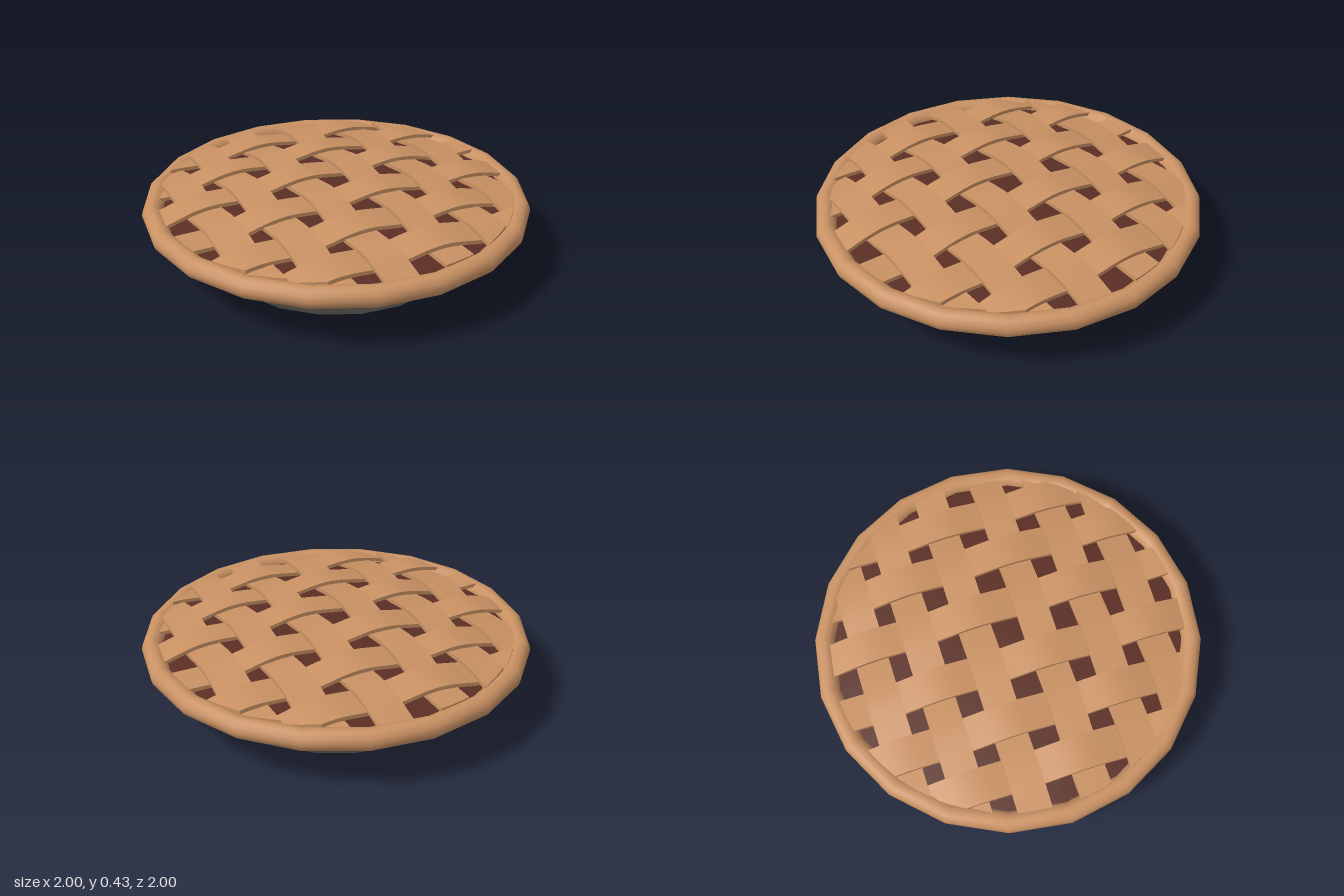
import * as THREE from 'three';

const SIDES = 20;
const CENTRES = [-0.70, -0.44, -0.155, 0.155, 0.44, 0.70];
const STRIP_WIDTH = 0.17, STRIP_THICKNESS = 0.02, LATTICE_RADIUS = 0.915;

// One lattice strip along z at the given x: clipped to a circle, domed and woven.
function stripGeometry(x, sign) {
  const geo = new THREE.BoxGeometry(STRIP_WIDTH, STRIP_THICKNESS, 2, 4, 1, 48);
  const pos = geo.attributes.position;
  for (let i = 0; i < pos.count; i++) {
    const px = pos.getX(i) + x;
    const pz = pos.getZ(i) * Math.sqrt(LATTICE_RADIUS ** 2 - px * px);
    const dome = 0.405 - 0.065 * (px * px + pz * pz) / 0.81;
    const weave = 0.015 * sign * Math.sin(Math.PI * pz / 0.285);
    pos.setXYZ(i, px, pos.getY(i) + dome + weave, pz);
  }
  geo.computeVertexNormals();
  return geo;
}

export function createModel() {
  const crust = new THREE.MeshStandardMaterial({ color: 0xc99163 });
  crust.name = 'baked crust';
  const metal = new THREE.MeshStandardMaterial({ color: 0x75736c });
  metal.name = 'grey tin';
  const fruit = new THREE.MeshStandardMaterial({ color: 0x5a2e24 });
  fruit.name = 'dark fruit';

  const pie = new THREE.Group();
  pie.name = 'pie';
  const add = (name, geo, mat, parent = pie) => {
    const mesh = new THREE.Mesh(geo, mat);
    mesh.name = name;
    parent.add(mesh);
    return mesh;
  };

  // Tapered tin
  add('tin', new THREE.CylinderGeometry(0.94, 0.64, 0.27, SIDES).translate(0, 0.135, 0), metal);

  // Rolled crust rim
  const rim = new THREE.TorusGeometry(0.947, 0.053, 12, SIDES).rotateX(Math.PI / 2);
  add('crustRim', rim.translate(0, 0.299, 0), crust);

  // Slightly domed filling
  const profile = [0.93, 0.75, 0.5, 0.25, 0].map(
    (r) => new THREE.Vector2(r, 0.355 - 0.045 * r * r / 0.81));
  add('filling', new THREE.LatheGeometry(profile, SIDES), fruit);

  // Woven lattice: lengthwise and crosswise strips alternate over and under
  const lattice = new THREE.Group();
  lattice.name = 'lattice';
  pie.add(lattice);
  CENTRES.forEach((c, i) => {
    const sign = i % 2 ? -1 : 1;
    add('lengthwiseStrip', stripGeometry(c, sign), crust, lattice);
    add('crosswiseStrip', stripGeometry(-c, -sign).rotateY(Math.PI / 2), crust, lattice);
  });

  return pie;
}
